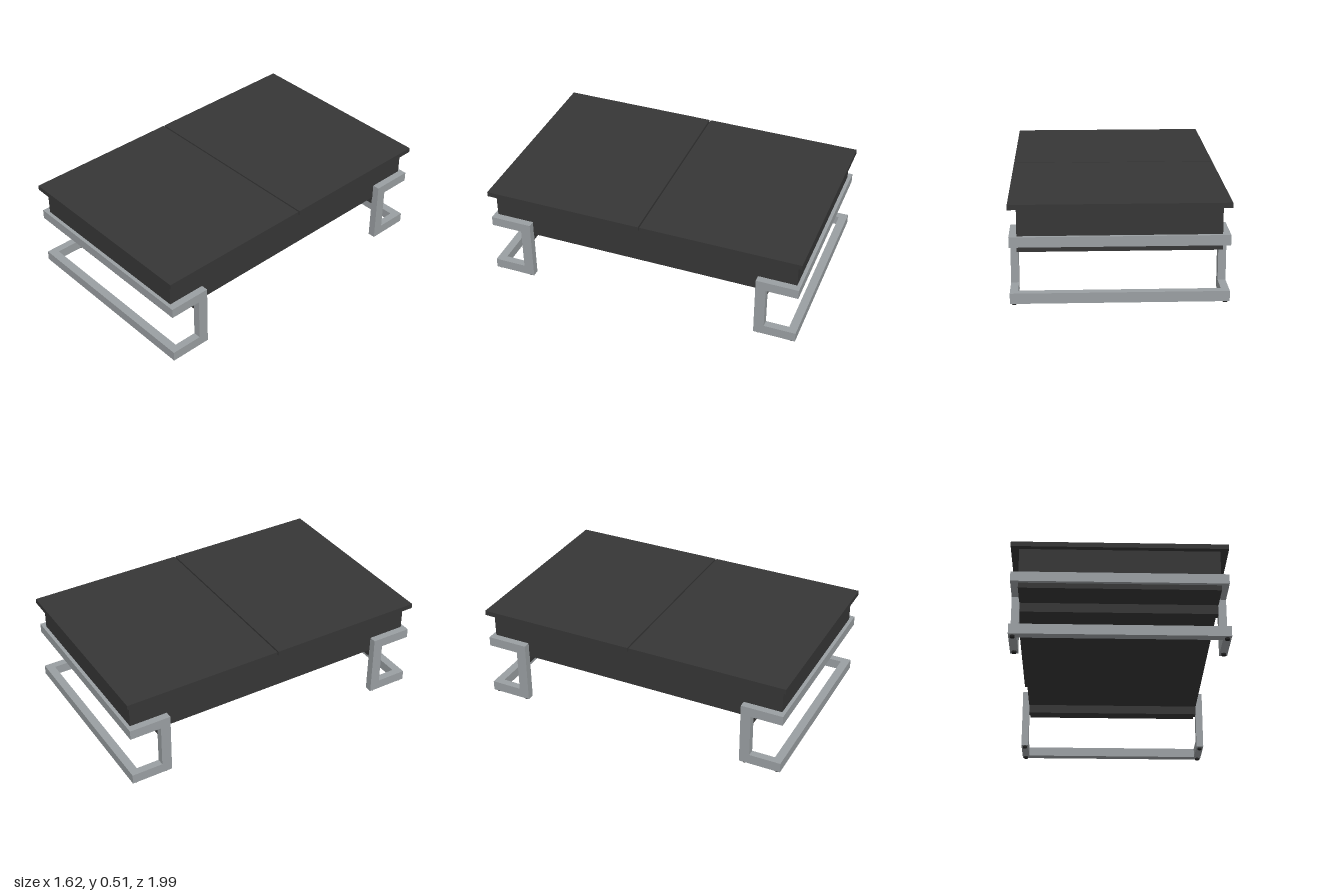
import * as THREE from 'three';

export function createModel() {
  const wood = new THREE.MeshStandardMaterial({ color: 0x363636 });
  wood.name = 'dark wood';
  const metal = new THREE.MeshStandardMaterial({ color: 0x9a9fa2 });
  metal.name = 'brushed steel';
  const rubber = new THREE.MeshStandardMaterial({ color: 0x222222 });
  rubber.name = 'black rubber';

  const table = new THREE.Group();
  table.name = 'coffeeTable';

  // Box from minimum and maximum corners
  function box(parent, name, material, [x0, y0, z0], [x1, y1, z1]) {
    const mesh = new THREE.Mesh(new THREE.BoxGeometry(x1 - x0, y1 - y0, z1 - z0), material);
    mesh.position.set((x0 + x1) / 2, (y0 + y1) / 2, (z0 + z1) / 2);
    mesh.name = name;
    parent.add(mesh);
  }

  // Storage body and the two lid panels with a narrow gap
  box(table, 'body', wood, [-0.502, 0.27, -0.835], [0.502, 0.489, 0.835]);
  box(table, 'frontLid', wood, [-0.5435, 0.489, 0.004], [0.5435, 0.515, 0.863]);
  box(table, 'backLid', wood, [-0.5435, 0.489, -0.863], [0.5435, 0.515, -0.004]);

  // Steel leg frames: two U-shaped rails joined by posts at their inner ends
  const W = 0.54, T = 0.04, END = 0.854, BAR = 0.045;
  const POST0 = 0.629, POST1 = 0.684;
  function legFrame(name) {
    const leg = new THREE.Group();
    leg.name = name;
    for (const [rail, y0, y1] of [['lower', 0.01, 0.063], ['upper', 0.298, 0.35]]) {
      box(leg, rail + 'EndRail', metal, [-W, y0, END - BAR], [W, y1, END]);
      for (const x of [-W, W - T]) {
        box(leg, rail + 'SideRail', metal, [x, y0, POST1], [x + T, y1, END - BAR]);
      }
    }
    for (const x of [-W, W - T]) {
      box(leg, 'post', metal, [x, 0.01, POST0], [x + T, 0.35, POST1]);
      // Foot pads under the post and the outer corner
      for (const z of [0.655, 0.83]) {
        const pad = new THREE.Mesh(new THREE.CylinderGeometry(0.012, 0.012, 0.01, 12), rubber);
        pad.position.set(x + T / 2, 0.005, z);
        pad.name = 'footPad';
        leg.add(pad);
      }
    }
    // Cross beam below the body
    box(leg, 'crossBeam', wood, [-W + T, 0.22, 0.636], [W - T, 0.27, 0.677]);
    table.add(leg);
    return leg;
  }
  legFrame('frontLegFrame');
  legFrame('backLegFrame').rotation.y = Math.PI;

  // The table stands turned on the floor
  table.rotation.y = -0.352;
  const root = new THREE.Group();
  root.add(table);
  return root;
}
